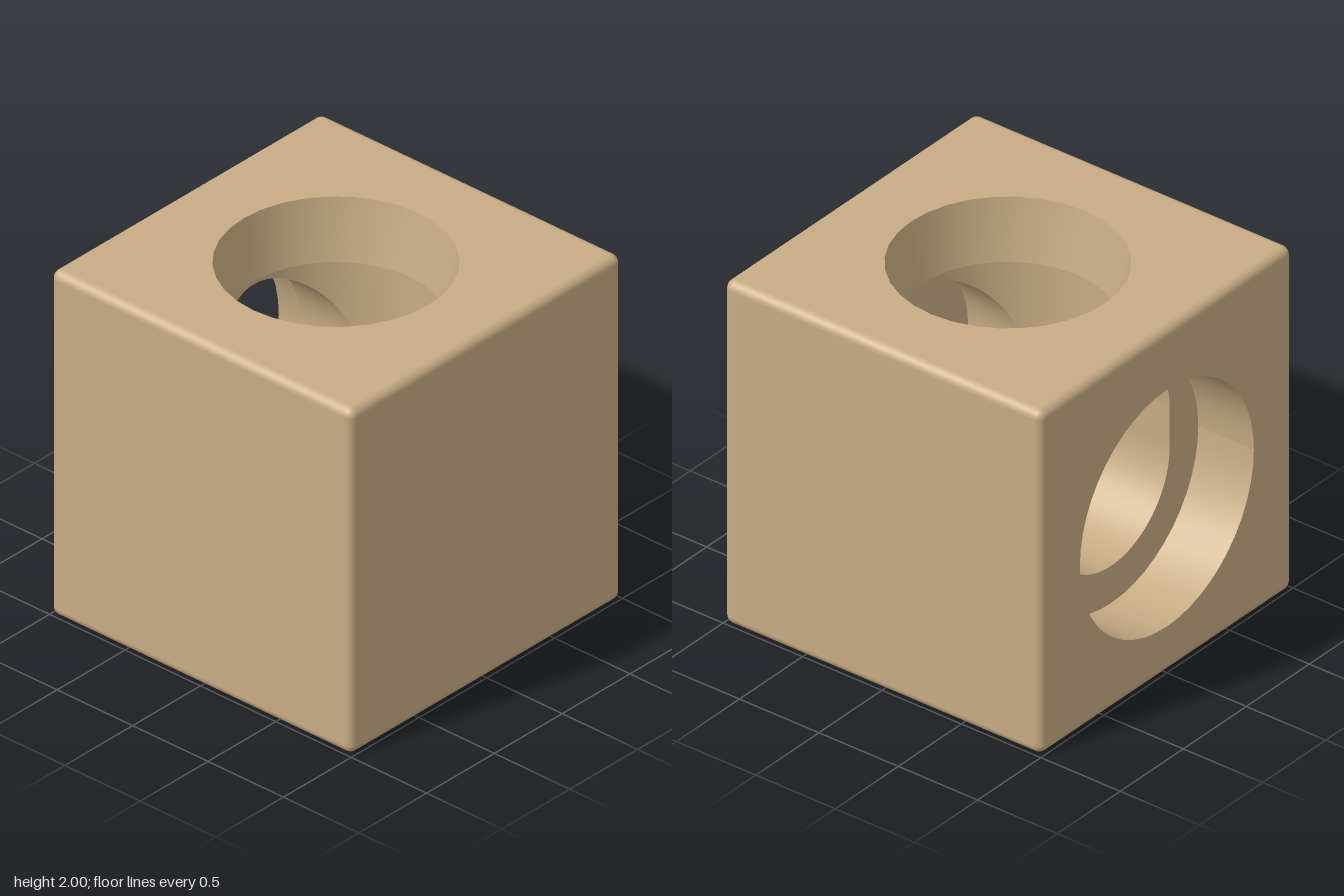
import * as THREE from 'three';
import { RoundedBoxGeometry } from 'three/addons/geometries/RoundedBoxGeometry.js';

const BEVEL = 0.05;
const RIM = 0.61, WELL = 0.545, CONE_Y = 1.66, FLOOR = 1.0;   // vertical well
const SLOT = 0.463, LOW = 0.95, HIGH = 1.18;                  // tall rounded slot along x
const SLOT_START = -0.65, SLOT_END = 0.62;
const BORE = 0.69, BORE_Y = 0.96;                             // side counterbore

// Smooth surface ruled between two curves given as functions of t in 0..1
function strip(a, b, n) {
  const pos = [], index = [];
  for (let i = 0; i <= n; i++) {
    pos.push(...a(i / n), ...b(i / n));
    if (i < n) {
      const k = i * 2;
      index.push(k, k + 1, k + 2, k + 1, k + 3, k + 2);
    }
  }
  const g = new THREE.BufferGeometry();
  g.setAttribute('position', new THREE.Float32BufferAttribute(pos, 3));
  g.setIndex(index);
  g.computeVertexNormals();
  return g;
}

// Flat square matching one face of the block, centred on (0, cy)
function squareShape(cy) {
  const h = 1 - BEVEL;
  return new THREE.Shape([[-h, -h], [h, -h], [h, h], [-h, h]].map(([x, y]) => new THREE.Vector2(x, y + cy)));
}

function circle(target, y, r) {
  target.absarc(0, y, r, 0, Math.PI * 2, false);
  return target;
}

function slotOutline(target) {
  target.absarc(0, HIGH, SLOT, 0, Math.PI, false);
  target.absarc(0, LOW, SLOT, Math.PI, Math.PI * 2, false);
  target.closePath();
  return target;
}

// Rounded block without its flat top and left-hand (-x) panels
function shellGeometry() {
  const src = new RoundedBoxGeometry(2, 2, 2, 4, BEVEL).toNonIndexed();
  const p = src.attributes.position, q = src.attributes.normal;
  const pos = [], nor = [];
  for (let i = 0; i < p.count; i += 3) {
    const tri = [i, i + 1, i + 2];
    if (tri.every(k => p.getY(k) > 0.99999) || tri.every(k => p.getX(k) < -0.99999)) continue;
    for (const k of tri) {
      pos.push(p.getX(k), p.getY(k) + 1, p.getZ(k));
      nor.push(q.getX(k), q.getY(k), q.getZ(k));
    }
  }
  const g = new THREE.BufferGeometry();
  g.setAttribute('position', new THREE.Float32BufferAttribute(pos, 3));
  g.setAttribute('normal', new THREE.Float32BufferAttribute(nor, 3));
  return g;
}

export function createModel() {
  const group = new THREE.Group();
  const tan = new THREE.MeshStandardMaterial({ color: 0xc8ac84, side: THREE.DoubleSide });
  tan.name = 'tan';
  const add = (name, geometry) => {
    const mesh = new THREE.Mesh(geometry, tan);
    mesh.name = name;
    group.add(mesh);
  };
  // Flat panel facing -x, drawn in (z, y)
  const sidePanel = (name, shape, x) =>
    add(name, new THREE.ShapeGeometry(shape, 24).rotateY(-Math.PI / 2).translate(x, 0, 0));

  // Block and its two pierced faces
  add('blockShell', shellGeometry());
  const top = squareShape(0);
  top.holes.push(circle(new THREE.Path(), 0, RIM));
  add('topFace', new THREE.ShapeGeometry(top, 16).rotateX(-Math.PI / 2).translate(0, 2, 0));
  const side = squareShape(1);
  side.holes.push(circle(new THREE.Path(), BORE_Y, BORE));
  sidePanel('boredFace', side, -1);

  // Tapered mouth of the vertical well
  const ring = (r, y) => t => {
    const a = t * Math.PI * 2;
    return [r * Math.cos(a), y, r * Math.sin(a)];
  };
  add('wellMouth', strip(ring(RIM, 2), ring(WELL, CONE_Y), 32));

  // Side counterbore and the step at its end
  const hoop = x => t => {
    const a = t * Math.PI * 2;
    return [x, BORE_Y + BORE * Math.sin(a), BORE * Math.cos(a)];
  };
  add('counterboreWall', strip(hoop(-1), hoop(SLOT_START), 48));
  const step = circle(new THREE.Shape(), BORE_Y, BORE);
  step.holes.push(slotOutline(new THREE.Path()));
  sidePanel('counterboreStep', step, SLOT_START);
  sidePanel('slotEnd', slotOutline(new THREE.Shape()), SLOT_END);

  // Lower slot: rounded trough running the full length
  const trough = x => t => {
    const a = Math.PI * (1 + t);
    return [x, LOW + SLOT * Math.sin(a), SLOT * Math.cos(a)];
  };
  add('slotTrough', strip(trough(SLOT_START), trough(SLOT_END), 32));

  const half = Math.asin(SLOT / WELL);
  const chord = WELL * Math.cos(half);
  const wellX = z => Math.sqrt(Math.max(0, WELL * WELL - z * z));
  for (const s of [-1, 1]) {
    // Low straight walls of the slot
    const line = y => t => [SLOT_START + t * (SLOT_END - SLOT_START), y, s * SLOT];
    add('slotSide', strip(line(LOW), line(FLOOR), 1));

    // Upper slot, from its outer end to the well wall
    const end = s < 0 ? SLOT_START : SLOT_END;
    const arch = (t, atWell) => {
      const a = Math.PI * t, z = SLOT * Math.cos(a);
      return [atWell ? s * wellX(z) : end, HIGH + SLOT * Math.sin(a), z];
    };
    add('slotArch', strip(t => arch(t, false), t => arch(t, true), 32));
    for (const m of [-1, 1]) {
      const edge = x => t => [x, FLOOR + t * (HIGH - FLOOR), m * SLOT];
      add('slotCheek', strip(edge(end), edge(s * chord), 1));
    }

    // Well wall above each slot opening
    const over = (t, low) => {
      const z = SLOT * Math.cos(Math.PI * t);
      return [s * wellX(z), low ? HIGH + SLOT * Math.sin(Math.PI * t) : CONE_Y, z];
    };
    add('wellWallOverSlot', strip(t => over(t, false), t => over(t, true), 32));

    // Well wall between the openings, and the ledge below it
    const arc = y => t => {
      const a = half + t * (Math.PI - 2 * half);
      return [WELL * Math.cos(a), y, s * WELL * Math.sin(a)];
    };
    add('wellWall', strip(arc(CONE_Y), arc(FLOOR), 12));
    const ledgeEdge = t => [arc(FLOOR)(t)[0], FLOOR, s * SLOT];
    add('wellLedge', strip(arc(FLOOR), ledgeEdge, 12));
  }
  return group;
}
